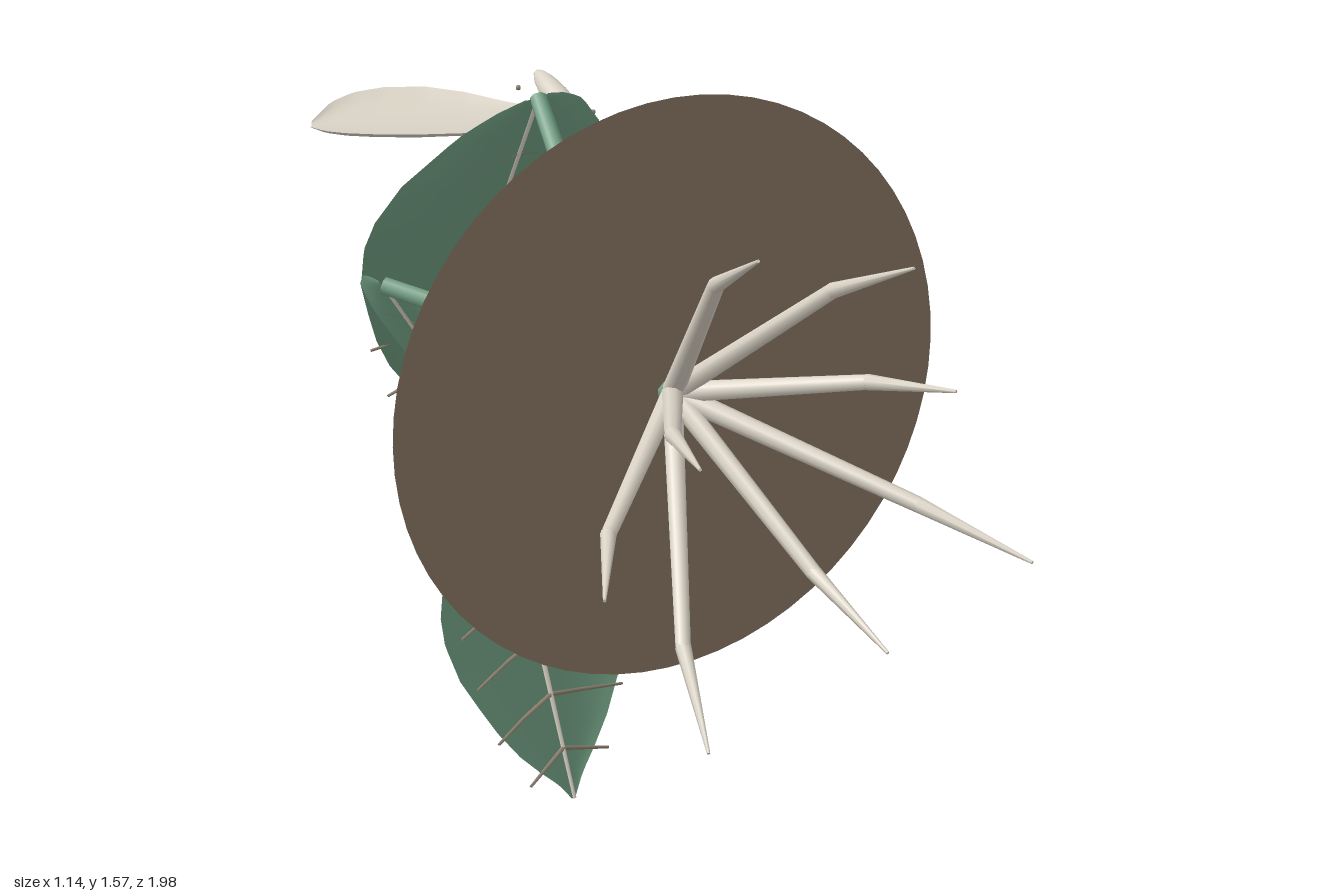
import * as THREE from 'three';

const V = (x, y, z) => new THREE.Vector3(x, y, z);
const mat = (name, color, side = THREE.FrontSide) => {
  const m = new THREE.MeshStandardMaterial({ color, side });
  m.name = name;
  return m;
};

// Leaf outline: [distance along the midrib, share of the half width]
const LEAF = [[0, 0.1], [0.03, 0.32], [0.08, 0.54], [0.2, 0.86], [0.3, 0.98], [0.38, 1], [0.5, 0.93],
  [0.6, 0.8], [0.7, 0.66], [0.8, 0.48], [0.88, 0.29], [0.94, 0.13], [1, 0.02]];
const SPATHE = [[0, 0.27], [0.1, 0.36], [0.3, 0.62], [0.45, 0.86], [0.6, 1], [0.75, 0.98], [0.86, 0.85],
  [0.94, 0.6], [1, 0.12]];

function widthAt(profile, t) {
  for (let i = 1; i < profile.length; i++) {
    const [t0, w0] = profile[i - 1], [t1, w1] = profile[i];
    if (t <= t1) return w0 + (w1 - w0) * (t - t0) / (t1 - t0);
  }
  return 0;
}

export function createModel() {
  const group = new THREE.Group();
  const green = mat('leaf green', 0x6f9c80);
  const blade = mat('blade green', 0x6f9c80, THREE.DoubleSide);
  const cream = mat('cream', 0xd9d2c5);
  const petal = mat('petal cream', 0xd9d2c5, THREE.DoubleSide);
  const soil = mat('soil brown', 0x8a7866, THREE.DoubleSide);
  const veinBrown = mat('vein brown', 0x8f8373);

  const add = (parent, name, geo, m) => {
    const mesh = new THREE.Mesh(geo, m);
    mesh.name = name;
    parent.add(mesh);
    return mesh;
  };

  // Tapered rod between two points
  const rod = (parent, name, a, b, ra, rb, m, sides = 8) => {
    const d = b.clone().sub(a);
    const mesh = add(parent, name, new THREE.CylinderGeometry(rb, ra, d.length(), sides), m);
    mesh.position.copy(a).addScaledVector(d, 0.5);
    mesh.quaternion.setFromUnitVectors(V(0, 1, 0), d.normalize());
  };

  // Two rods joined at a rounded knee
  const limb = (name, a, knee, b, radii, m) => {
    const g = new THREE.Group();
    g.name = name;
    rod(g, name + 'Lower', a, knee, radii[0], radii[1], m);
    rod(g, name + 'Upper', knee, b, radii[1], radii[2], m);
    add(g, name + 'Knee', new THREE.SphereGeometry(radii[1], 8, 6), m).position.copy(knee);
    group.add(g);
  };

  // Cupped blade from base to tip; returns its surface function
  const sheet = (parent, name, { base, tip, across, half, cup, profile }, m) => {
    const axis = tip.clone().sub(base);
    const dir = axis.clone().normalize();
    const w = across.clone().addScaledVector(dir, -across.dot(dir)).normalize();
    const n = dir.clone().cross(w);
    const at = (t, s, lift = 0) => {
      const u = Math.min(1, Math.abs(s) / (half * Math.max(widthAt(profile, t), 0.05)));
      const rise = cup * (u * u * 0.5 + u ** 4 * 0.5) * widthAt(profile, t);
      return base.clone().addScaledVector(axis, t).addScaledVector(w, s).addScaledVector(n, rise + lift);
    };
    const rows = 40, cols = 16, pos = [], idx = [];
    for (let i = 0; i <= rows; i++) {
      const t = i / rows, hw = half * widthAt(profile, t);
      for (let j = 0; j <= cols; j++) {
        pos.push(...at(t, hw * (2 * j / cols - 1)).toArray());
        if (i < rows && j < cols) {
          const a = i * (cols + 1) + j, b = a + cols + 1;
          idx.push(a, b, a + 1, a + 1, b, b + 1);
        }
      }
    }
    const geo = new THREE.BufferGeometry();
    geo.setAttribute('position', new THREE.Float32BufferAttribute(pos, 3));
    geo.setIndex(idx);
    geo.computeVertexNormals();
    add(parent, name, geo, m);
    return at;
  };

  // Soil disc, facing forward
  const crown = V(0, 1, 0.36);
  add(group, 'soilDisc', new THREE.CircleGeometry(0.572, 64), soil).position.set(0, 1, 0.355);

  // Roots fanning out in front of the disc
  [[-0.17, 1.48, 0.95], [0.175, 1.39, 0.895], [0.31, 1.115, 0.84], [0.38, 0.83, 1],
    [0.113, 0.69, 0.95], [-0.22, 0.545, 0.895], [-0.4, 0.86, 0.84], [-0.305, 1.148, 1]].forEach((p) => {
    const tip = V(...p), d = tip.clone().sub(crown);
    limb('root', crown, crown.clone().add(V(d.x * 0.75, d.y * 0.75, d.z * 0.64)), tip, [0.021, 0.015, 0.003], cream);
  });

  // Leaves: each has a bent stalk, a cupped blade and raised veins
  const leaves = [
    { name: 'backLeaf', base: V(0.1, 1.35, -0.375), tip: V(0, 0.58, -0.69), across: V(-0.63, -0.05, 0.19), half: 0.33, cup: 0.045 },
    { name: 'leftLeaf', base: V(0.34, 0.9, -0.28), tip: V(-0.01, 0.235, -0.165), across: V(0.235, -0.055, 0.535), half: 0.297, cup: 0.06 },
    { name: 'rightLeaf', base: V(-0.345, 1.1, -0.16), tip: V(-0.01, 0.59, -0.25), across: V(-0.1, 0.01, -0.43), half: 0.235, cup: 0.04 },
    { name: 'lowerLeaf', base: V(-0.105, 0.65, -0.147), tip: V(-0.035, 0, 0.03), across: V(0.505, 0, -0.17), half: 0.265, cup: 0.03 },
  ];
  for (const leaf of leaves) {
    const d = leaf.base.clone().sub(crown);
    limb(leaf.name + 'Stalk', crown, crown.clone().add(V(d.x * 0.42, d.y * 0.39, d.z * 0.54)), leaf.base,
      [0.024, 0.022, 0.018], green);
    const g = new THREE.Group();
    g.name = leaf.name;
    group.add(g);
    const at = sheet(g, 'blade', { ...leaf, profile: LEAF }, blade);
    rod(g, 'midrib', at(0, 0, 0.003), at(1, 0, 0.003), 0.008, 0.004, cream, 6);
    for (const [t, len] of [[0.17, 0.7], [0.33, 0.79], [0.49, 0.76], [0.67, 0.68], [0.84, 0.43]]) {
      for (const side of [-1, 1]) {
        const s = side * len * leaf.half;
        const pts = [0, 0.5, 1].map((k) => at(t + 0.06 * k, s * k, 0.003));
        rod(g, 'vein', pts[0], pts[1], 0.005, 0.004, veinBrown, 5);
        rod(g, 'vein', pts[1], pts[2], 0.004, 0.003, veinBrown, 5);
      }
    }
  }

  // Flower: straight stalk, pale spathe, spadix with tiny specks
  const bloom = V(0.35, 1.187, -0.64);
  rod(group, 'flowerStalk', crown, bloom, 0.024, 0.021, green, 10);
  sheet(group, 'spathe', {
    base: V(0.345, 1.18, -0.63), tip: V(-0.165, 1.18, -0.9), across: V(-0.22, 0, 0.425),
    half: 0.163, cup: 0.035, profile: SPATHE,
  }, petal);
  const spadix = add(group, 'spadix', new THREE.SphereGeometry(1, 20, 14), cream);
  spadix.scale.set(0.028, 0.028, 0.128);
  spadix.position.set(0.355, 1.19, -0.76);
  spadix.rotation.x = 0.31;
  for (const z of [-0.68, -0.76, -0.83, -0.905]) {
    for (const side of [-1, 1]) {
      add(group, 'speck', new THREE.SphereGeometry(0.006, 6, 5), veinBrown).position.set(0.355 + side * 0.031, 1.19, z);
    }
  }
  return group;
}
